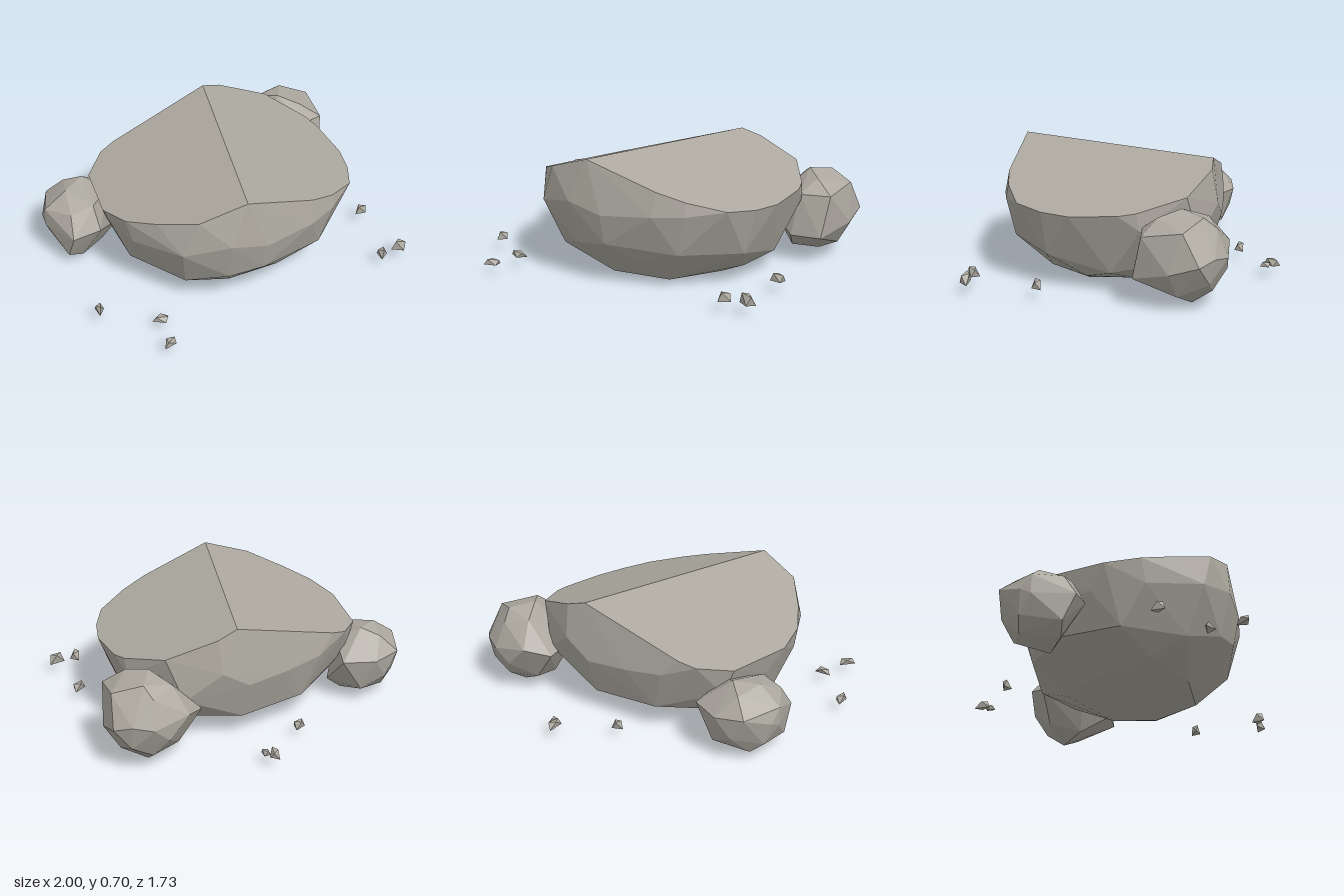
import * as THREE from 'three';
import { ConvexGeometry } from 'three/addons/geometries/ConvexGeometry.js';

const stone = new THREE.MeshStandardMaterial({ color: 0xaca89f, flatShading: true });
stone.name = 'stone grey';

// A faceted rock: the convex hull of a few rings of points
function rock(name, ...rings) {
  const points = rings.flat().map((p) => new THREE.Vector3(...p));
  const mesh = new THREE.Mesh(new ConvexGeometry(points), stone);
  mesh.name = name;
  return mesh;
}

// The two sloping planes that meet in the ridge of the boulder
const leftSlope = (x, z) => [x, 0.701 - 0.316 * x - 0.121 * z, z];
const rightSlope = (x, z) => [x, 0.678 + 0.271 * x + 0.136 * z, z];

export function createModel() {
  const model = new THREE.Group();
  model.name = 'rockCluster';

  // Main boulder
  const ridge = [[-0.25, 0.7, 0.66], [0.25, 0.68, -0.48]];
  const leftRim = [[0.17, 0.69], [0.33, 0.665], [0.53, 0.58], [0.64, 0.43], [0.71, 0.27], [0.75, 0],
    [0.74, -0.1], [0.63, -0.36], [0.37, -0.48]].map(([x, z]) => leftSlope(x, z));
  const rightRim = [[-0.5, 0.57], [-0.64, 0.37], [-0.73, 0.2], [-0.755, 0], [-0.64, -0.35],
    [-0.48, -0.48], [-0.38, -0.5]].map(([x, z]) => rightSlope(x, z));
  const belly = [
    [-0.36, 0.46, 0.67], [-0.15, 0.41, 0.715], [0.15, 0.43, 0.72], [0.33, 0.44, 0.68],
    [0.735, 0.38, -0.12], [0.55, 0.3, -0.42], [0.36, 0.45, -0.515], [0.2, 0.35, -0.53],
    [-0.05, 0.37, -0.53], [-0.28, 0.4, -0.52], [-0.58, 0.3, -0.36], [-0.69, 0.34, -0.08],
    [-0.7, 0.37, 0.22], [-0.58, 0.41, 0.53],
  ];
  const lower = [
    [-0.33, 0.21, 0.61], [-0.14, 0.24, 0.68], [0, 0.14, 0.6], [0.27, 0.21, 0.64],
    [0.57, 0.19, 0.41], [0.63, 0.11, 0.05], [0.52, 0.15, -0.3],
    [0.2, 0.13, -0.46], [-0.2, 0.15, -0.46], [-0.55, 0.14, -0.25], [-0.64, 0.15, 0.08],
    [-0.5, 0.14, 0.43],
  ];
  const base = [
    [-0.2, 0, 0.42], [0.15, 0, 0.45], [0.37, 0, 0.2], [0.35, 0, -0.05], [0, 0.02, -0.28],
    [-0.3, 0, -0.1], [-0.35, 0, 0.12], [-0.47, 0.04, 0.22], [0.5, 0.05, 0.2],
  ];
  model.add(rock('mainBoulder', ridge, leftRim, rightRim, belly, lower, base));

  // Smaller rocks at the two back corners
  model.add(rock('leftRock', [
    [0.72, 0.51, -0.34], [0.82, 0.49, -0.46], [0.96, 0.44, -0.36], [0.9, 0.4, -0.14],
    [0.72, 0.4, -0.13], [0.66, 0.46, -0.48], [0.5, 0.3, -0.25], [0.8, 0.43, -0.53],
    [0.8, 0.48, -0.22], [1, 0.27, -0.45], [0.98, 0.22, -0.29], [0.93, 0.3, -0.53],
    [0.83, 0.28, -0.59], [0.62, 0.32, -0.59], [0.49, 0.28, -0.5], [0.86, 0.16, -0.09],
    [0.68, 0.16, -0.1], [0.74, 0.2, -0.585], [0.92, 0.16, -0.5],
    [0.9, 0.08, -0.33], [0.77, 0.01, -0.4], [0.64, 0.05, -0.28], [0.8, 0.09, -0.51],
    [0.62, 0.1, -0.47],
  ]));
  model.add(rock('rightRock', [
    [-0.8, 0.42, -0.34], [-0.66, 0.43, -0.4], [-0.72, 0.38, -0.17], [-0.55, 0.36, -0.3],
    [-0.85, 0.35, -0.2], [-0.74, 0.39, -0.48],
    [-0.93, 0.33, -0.36], [-0.93, 0.22, -0.36], [-0.92, 0.25, -0.42], [-0.82, 0.3, -0.55],
    [-0.65, 0.28, -0.57], [-0.48, 0.28, -0.48], [-0.88, 0.23, -0.13], [-0.72, 0.25, -0.1],
    [-0.74, 0.16, -0.545], [-0.88, 0.12, -0.43],
    [-0.88, 0.08, -0.2], [-0.78, 0.03, -0.22], [-0.6, 0.02, -0.3], [-0.8, 0.05, -0.44],
    [-0.6, 0.09, -0.5], [-0.5, 0.1, -0.3],
  ]));

  // Scattered pebbles: x, y, z, turn, then length, height and width
  const chip = [
    [-0.04, -0.02, -0.02], [0.04, -0.025, -0.015], [0.005, -0.02, 0.03],
    [-0.025, 0.025, -0.005], [0.025, 0.015, 0.015], [0.005, 0.02, -0.025],
  ];
  [
    [-0.065, 0.078, -0.625, 0.3, 0.85, 1, 1], [0.235, 0.08, -0.82, 1.5, 1.15, 0.9, 0.9],
    [0.265, 0.075, -0.785, 2.2, 0.75, 0.6, 0.8], [-0.977, 0.085, 0.3, 1.5, 0.95, 1, 0.9],
    [-0.74, 0.075, 0.555, 0, 1.25, 0.65, 1.05], [-0.802, 0.075, 0.735, 0.8, 1.2, 0.7, 1],
    [0.605, 0.085, 0.82, 1.35, 0.95, 1.1, 1.1], [0.727, 0.09, 0.832, 0, 1.15, 1.3, 1],
    [0.773, 0.085, 0.435, 0.45, 1.05, 1, 0.95],
  ].forEach(([x, y, z, turn, ...size], i) => {
    const pebble = rock('pebble' + (i + 1), chip);
    pebble.position.set(x, y, z);
    pebble.rotation.y = turn;
    pebble.scale.set(...size);
    model.add(pebble);
  });

  return model;
}
